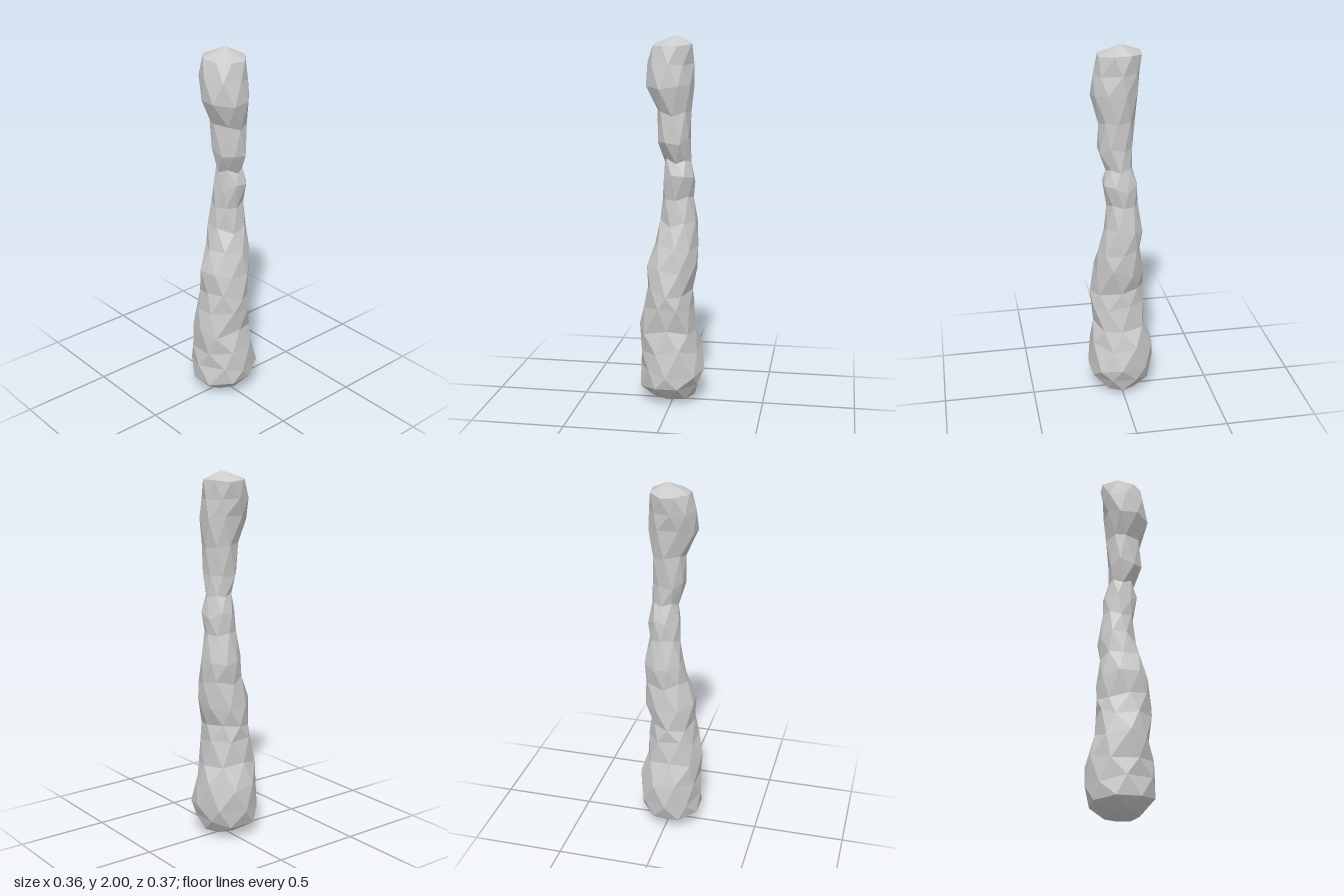
import * as THREE from 'three';

// Cross-sections: height, min x, max x, min z, max z
const RINGS = [
  [0.03, -0.12, 0.12, -0.09, 0.10],
  [0.09, -0.17, 0.15, -0.16, 0.17],
  [0.18, -0.18, 0.18, -0.185, 0.185],
  [0.30, -0.165, 0.15, -0.17, 0.165],
  [0.42, -0.18, 0.135, -0.145, 0.15],
  [0.54, -0.15, 0.11, -0.13, 0.16],
  [0.64, -0.14, 0.105, -0.13, 0.165],
  [0.76, -0.135, 0.13, -0.12, 0.145],
  [0.88, -0.10, 0.135, -0.11, 0.125],
  [1.00, -0.07, 0.13, -0.11, 0.09],
  [1.13, -0.06, 0.11, -0.09, 0.08],
  [1.25, -0.05, 0.115, -0.08, 0.10],
  [1.35, -0.045, 0.10, -0.06, 0.08],
  [1.45, -0.075, 0.095, -0.06, 0.12],
  [1.60, -0.085, 0.10, -0.075, 0.12],
  [1.75, -0.13, 0.11, -0.09, 0.15],
  [1.86, -0.14, 0.11, -0.11, 0.135],
  [1.945, -0.105, 0.10, -0.11, 0.115],
];
const SIDES = 8;

// Small seeded noise in -1..1
function makeNoise(seed) {
  return () => {
    seed = (seed * 16807) % 2147483647;
    return (seed / 2147483647) * 2 - 1;
  };
}

function columnGeometry() {
  const noise = makeNoise(4217);
  const points = [0, 0, 0.03];
  const faces = [];
  RINGS.forEach(([y, x0, x1, z0, z1], r) => {
    for (let i = 0; i < SIDES; i++) {
      // Every other ring is turned half a step
      const a = ((i + (r % 2) / 2 + noise() * 0.12) / SIDES) * Math.PI * 2;
      const k = (r % 2 ? 1.05 : 1.0) + noise() * 0.04;
      const end = r === 0 || r === RINGS.length - 1;
      points.push(
        (x0 + x1) / 2 + Math.sin(a) * k * (x1 - x0) / 2,
        y + noise() * (end ? 0.012 : 0.025),
        (z0 + z1) / 2 + Math.cos(a) * k * (z1 - z0) / 2
      );
    }
  });
  points.push(0.015, 2, 0);
  const top = points.length / 3 - 1;
  const at = (r, i) => 1 + r * SIDES + ((i + SIDES) % SIDES);

  for (let i = 0; i < SIDES; i++) {
    faces.push(0, at(0, i + 1), at(0, i));
    faces.push(top, at(RINGS.length - 1, i), at(RINGS.length - 1, i + 1));
    for (let r = 0; r < RINGS.length - 1; r++) {
      const a = at(r, i), b = at(r, i + 1);
      const c = at(r + 1, i), d = at(r + 1, i + 1);
      if (r % 2) faces.push(a, b, d, a, d, c);
      else faces.push(a, b, c, b, d, c);
    }
  }
  const geometry = new THREE.BufferGeometry();
  geometry.setAttribute('position', new THREE.Float32BufferAttribute(points, 3));
  geometry.setIndex(faces);
  const flat = geometry.toNonIndexed();
  flat.computeVertexNormals();
  return flat;
}

export function createModel() {
  const group = new THREE.Group();
  group.name = 'rockColumn';
  const material = new THREE.MeshStandardMaterial({ color: 0xcccccc, flatShading: true });
  const column = new THREE.Mesh(columnGeometry(), material);
  column.name = 'facetedColumn';
  group.add(column);
  return group;
}
